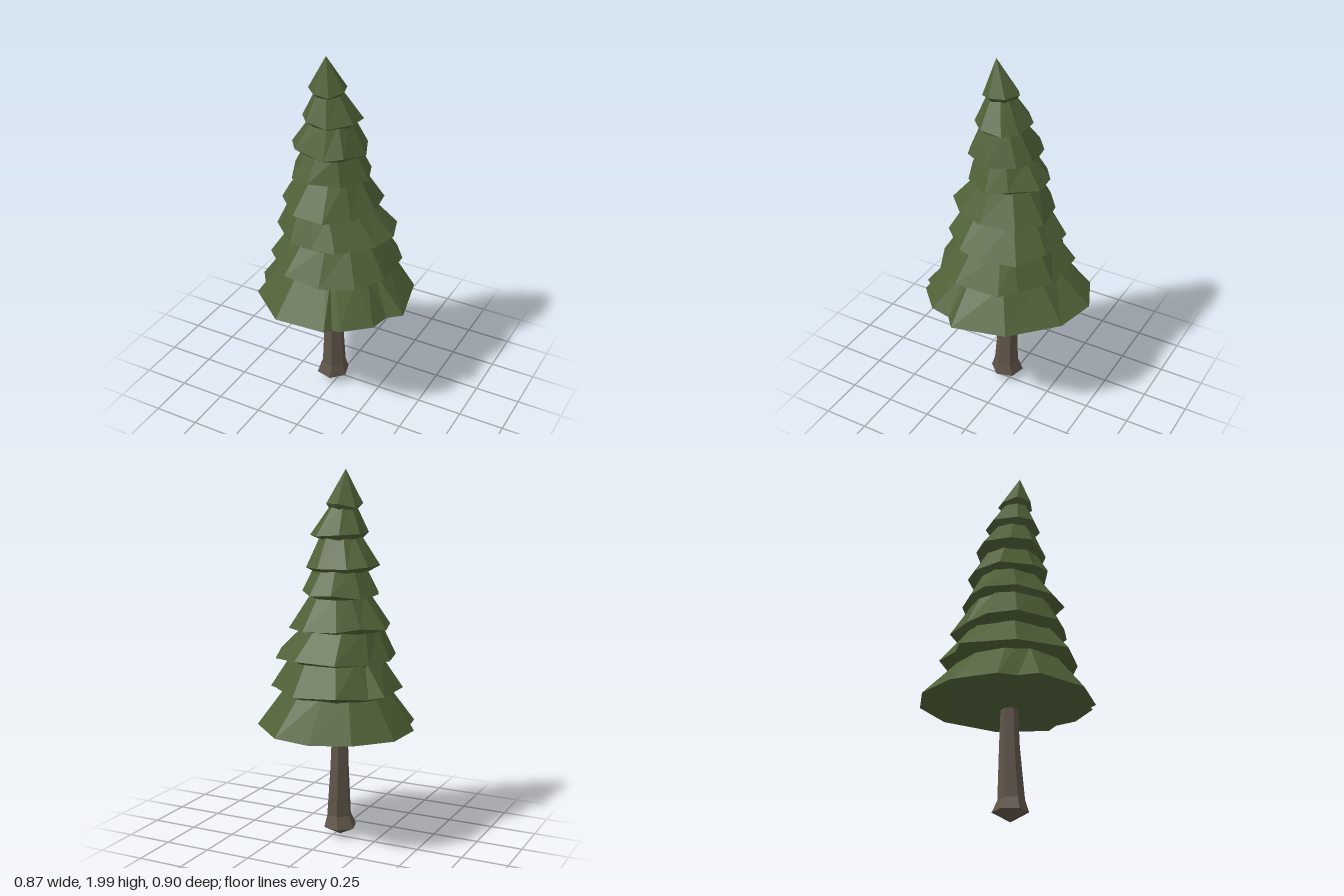
import * as THREE from 'three';

// Flat-shaded skin over rings of [x, y, z] points; a ring of one point closes an end
function loft(rings, material, name) {
  const pos = [];
  const n = Math.max(...rings.map(r => r.length));
  const at = (ring, j) => ring[j % ring.length];
  for (let i = 0; i < rings.length - 1; i++) {
    const lo = rings[i], hi = rings[i + 1];
    for (let j = 0; j < n; j++) {
      if (lo.length > 1) pos.push(...at(lo, j), ...at(hi, j), ...at(lo, j + 1));
      if (hi.length > 1) pos.push(...at(lo, j + 1), ...at(hi, j), ...at(hi, j + 1));
    }
  }
  const geometry = new THREE.BufferGeometry();
  geometry.setAttribute('position', new THREE.Float32BufferAttribute(pos, 3));
  geometry.computeVertexNormals();
  const mesh = new THREE.Mesh(geometry, material);
  mesh.name = name;
  return mesh;
}

// Ragged outlines (x, z) of the wide lower tiers
const skirt1 = [[-0.08, -0.45], [0.14, -0.395], [0.365, -0.18], [0.435, 0.11], [0.365, 0.17],
  [0.345, 0.285], [0.215, 0.41], [0.165, 0.40], [0.14, 0.445], [-0.145, 0.45],
  [-0.36, 0.28], [-0.375, 0.175], [-0.435, 0.09], [-0.425, -0.155], [-0.28, -0.36]];
const skirt2 = [[-0.17, -0.315], [0.08, -0.31], [0.25, -0.19], [0.32, -0.11], [0.335, 0.14],
  [0.24, 0.29], [0.07, 0.37], [-0.13, 0.37], [-0.34, 0.16], [-0.36, -0.135], [-0.29, -0.18]];
const skirt3 = [[-0.14, -0.27], [0.09, -0.27], [0.25, -0.18], [0.315, 0], [0.28, 0.14],
  [0.13, 0.3], [0, 0.32], [-0.13, 0.31], [-0.3, 0.15], [-0.33, 0], [-0.27, -0.13]];
const skirt4 = [[-0.12, -0.21], [0.06, -0.235], [0.19, -0.14], [0.23, 0.05], [0.17, 0.2],
  [0.06, 0.31], [-0.12, 0.29], [-0.27, 0.14], [-0.315, -0.02], [-0.22, -0.13]];

export function createModel() {
  const group = new THREE.Group();
  const needles = new THREE.MeshStandardMaterial({ name: 'needle green', color: 0x4f6137 });
  const bark = new THREE.MeshStandardMaterial({ name: 'bark brown', color: 0x5f5448 });

  let seed = 7;
  const jitter = amount => {
    seed = (seed * 16807) % 2147483647;
    return (seed / 2147483647 - 0.5) * 2 * amount;
  };

  // Irregular polygon fitted exactly into the given x and z ranges
  const polygon = (sides, phase, [x0, x1], [z0, z1]) => {
    const pts = [];
    for (let j = 0; j < sides; j++) {
      const a = phase + (j + jitter(0.18)) / sides * Math.PI * 2, r = 1 + jitter(0.06);
      pts.push([Math.cos(a) * r, Math.sin(a) * r]);
    }
    const fit = (k, lo, hi) => {
      const v = pts.map(p => p[k]), a = Math.min(...v), b = Math.max(...v);
      pts.forEach(p => { p[k] = lo + (p[k] - a) / (b - a) * (hi - lo); });
    };
    fit(0, x0, x1);
    fit(1, z0, z1);
    return pts;
  };

  // Trunk: six-sided, flared foot with a blunt point, slightly bent
  const hexRing = (y, r, x, z) => Array.from({ length: 6 }, (_, j) => {
    const a = j / 6 * Math.PI * 2 + 0.25;
    return [x + Math.cos(a) * r, y, z + Math.sin(a) * r];
  });
  group.add(loft([
    [[-0.03, 0.01, 0.03]],
    hexRing(0.06, 0.093, -0.03, 0.03),
    hexRing(0.125, 0.069, -0.022, 0.032),
    hexRing(0.4, 0.053, -0.028, 0.025),
    hexRing(0.7, 0.042, -0.03, 0.025),
    [[-0.03, 0.72, 0.025]],
  ], bark, 'trunk'));

  // Foliage tiers: bottom y, rim y, top y, underside radius, top radius, outline
  const tiers = [
    { low: 0.6, rim: 0.64, top: 0.85, inner: 0.29, upper: 0.275, outline: skirt1 },
    { low: 0.82, rim: 0.855, top: 1.03, inner: 0.28, upper: 0.235, outline: skirt2 },
    { low: 1.0, rim: 1.025, top: 1.19, inner: 0.245, upper: 0.205, outline: skirt3 },
    { low: 1.165, rim: 1.19, top: 1.36, inner: 0.21, upper: 0.155, outline: skirt4 },
    { low: 1.34, rim: 1.36, top: 1.5, inner: 0.165, upper: 0.14, outline: polygon(9, 0.2, [-0.245, 0.185], [-0.2, 0.25]) },
    { low: 1.475, rim: 1.505, top: 1.67, inner: 0.15, upper: 0.105, outline: polygon(9, 0, [-0.23, 0.17], [-0.15, 0.22]) },
    { low: 1.64, rim: 1.67, top: 1.81, inner: 0.115, upper: 0.07, outline: polygon(8, 0.4, [-0.165, 0.125], [-0.095, 0.19]) },
    { low: 1.79, rim: 1.815, top: 2, inner: 0.07, upper: 0, outline: polygon(7, 0.1, [-0.125, 0.065], [-0.035, 0.16]) },
  ];
  const centre = ({ outline }) => [0, 1].map(k => {
    const v = outline.map(p => p[k]);
    return (Math.min(...v) + Math.max(...v)) / 2;
  });
  tiers.forEach((t, i) => {
    const c = centre(t);
    const next = i < tiers.length - 1 ? centre(tiers[i + 1]) : [-0.03, 0.09];
    const ring = (y, r, [x, z]) => t.outline.map(p => {
      const a = Math.atan2(p[1] - c[1], p[0] - c[0]);
      return [x + Math.cos(a) * r, y, z + Math.sin(a) * r];
    });
    const rim = t.outline.map(p => [p[0], t.rim + jitter(0.012), p[1]]);
    const rings = [[[c[0], t.low, c[1]]], ring(t.low, t.inner, c), rim];
    if (t.upper) rings.push(ring(t.top, t.upper, next));
    rings.push([[next[0], t.top, next[1]]]);
    group.add(loft(rings, needles, 'foliageTier' + (i + 1)));
  });

  return group;
}
